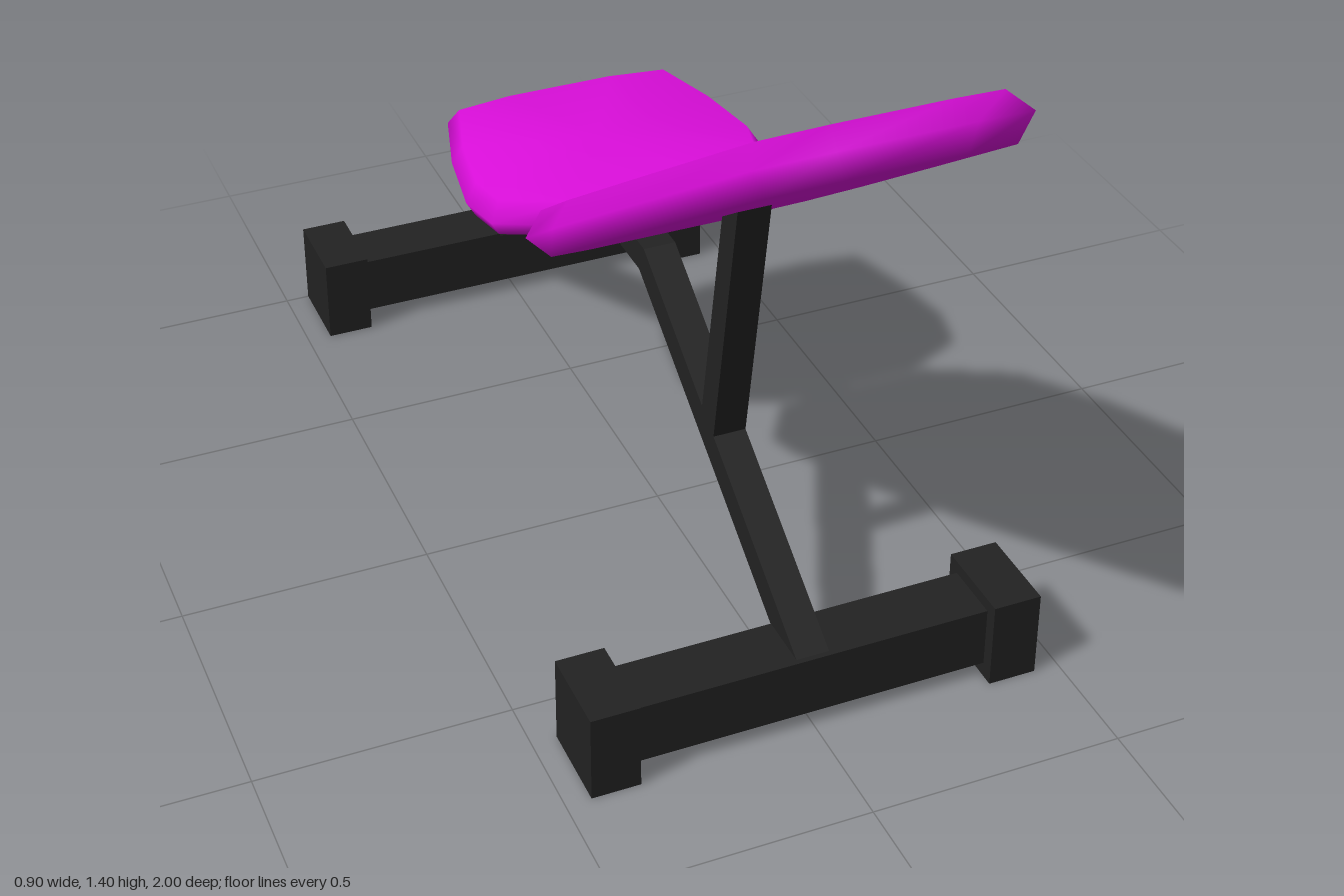
import * as THREE from 'three';

const steel = new THREE.MeshStandardMaterial({ color: 0x222222 });
steel.name = 'black steel';
const vinyl = new THREE.MeshStandardMaterial({ color: 0xdd0edd });
vinyl.name = 'magenta vinyl';

const BEAM = 0.066;

function box(name, w, h, d, x, y, z) {
  const mesh = new THREE.Mesh(new THREE.BoxGeometry(w, h, d), steel);
  mesh.name = name;
  mesh.position.set(x, y, z);
  return mesh;
}

// Side profile given as [z, y] points, extruded across x
function sidePlate(name, points, width = BEAM) {
  const shape = new THREE.Shape(points.map(([z, y]) => new THREE.Vector2(z, y)));
  const geo = new THREE.ExtrudeGeometry(shape, { depth: width, bevelEnabled: false });
  geo.translate(0, 0, -width / 2);
  geo.rotateY(-Math.PI / 2);
  const mesh = new THREE.Mesh(geo, steel);
  mesh.name = name;
  return mesh;
}

// Cushion: half outline [x, z] with rising z, mirrored, in three stacked rings [y, inset]
function cushion(name, half, rings) {
  const outline = [...half, ...half.slice().reverse().map(([x, z]) => [-x, z])];
  const n = outline.length;
  const z0 = half[0][1], z1 = half[half.length - 1][1];
  const mid = (z0 + z1) / 2, halfLength = (z1 - z0) / 2;
  const halfWidth = Math.max(...half.map(p => p[0]));
  const pos = [], index = [];
  for (const [y, inset] of rings) {
    for (const [x, z] of outline) {
      pos.push(x * (1 - inset / halfWidth), y, mid + (z - mid) * (1 - inset / halfLength));
    }
  }
  const bottom = pos.length / 3, top = bottom + 1;
  pos.push(0, rings[0][0], mid, 0, rings[rings.length - 1][0], mid);
  const last = (rings.length - 1) * n;
  for (let i = 0; i < n; i++) {
    const j = (i + 1) % n;
    for (let r = 0; r < last; r += n) {
      index.push(r + i, r + n + i, r + j, r + j, r + n + i, r + n + j);
    }
    index.push(bottom, i, j, top, last + j, last + i);
  }
  const geo = new THREE.BufferGeometry();
  geo.setAttribute('position', new THREE.Float32BufferAttribute(pos, 3));
  geo.setIndex(index);
  geo.computeVertexNormals();
  const mesh = new THREE.Mesh(geo, vinyl);
  mesh.name = name;
  return mesh;
}

export function createModel() {
  const bench = new THREE.Group();
  bench.name = 'weightBench';

  // Floor bars with square end caps
  for (const [name, z] of [['frontFoot', 0.688], ['rearFoot', -0.912]]) {
    const foot = new THREE.Group();
    foot.name = name;
    foot.add(box('crossBar', 0.72, 0.125, 0.122, 0, 0.0925, z));
    for (const side of [-1, 1]) {
      foot.add(box(side > 0 ? 'leftCap' : 'rightCap', 0.096, 0.18, 0.176, side * 0.402, 0.09, z));
    }
    bench.add(foot);
  }

  // Bent main beam
  bench.add(sidePlate('mainBeam', [
    [0.74, 0.154], [0.69, 0.1], [0.63, 0.15], [-0.015, 0.555], [-0.21, 0.555],
    [-0.85, 0.15], [-0.91, 0.1], [-0.965, 0.154], [-0.23, 0.615], [0.01, 0.615],
  ]));

  // Backrest post and seat brace
  bench.add(sidePlate('backrestPost', [[0.351, 0.38], [0.295, 0.41], [0.384, 0.925], [0.446, 0.945]]));
  bench.add(sidePlate('seatBrace', [[-0.365, 0.505], [-0.43, 0.465], [-0.525, 0.612], [-0.455, 0.618]]));

  // Seat cushion
  bench.add(cushion('seat', [
    [0.12, -0.555], [0.245, -0.537], [0.29, -0.38], [0.315, -0.22], [0.295, -0.13], [0.16, -0.065],
  ], [[0.617, 0.022], [0.655, 0], [0.693, 0.024]]));

  // Reclined backrest cushion
  const backrest = cushion('backrest', [
    [0.16, 0.328], [0.295, 0.475], [0.315, 0.722], [0.286, 1.14], [0.245, 1.56], [0.12, 1.612],
  ], [[0.52, 0.035], [0.565, 0], [0.609, 0.035]]);
  backrest.rotation.x = -0.609;
  bench.add(backrest);

  return bench;
}
